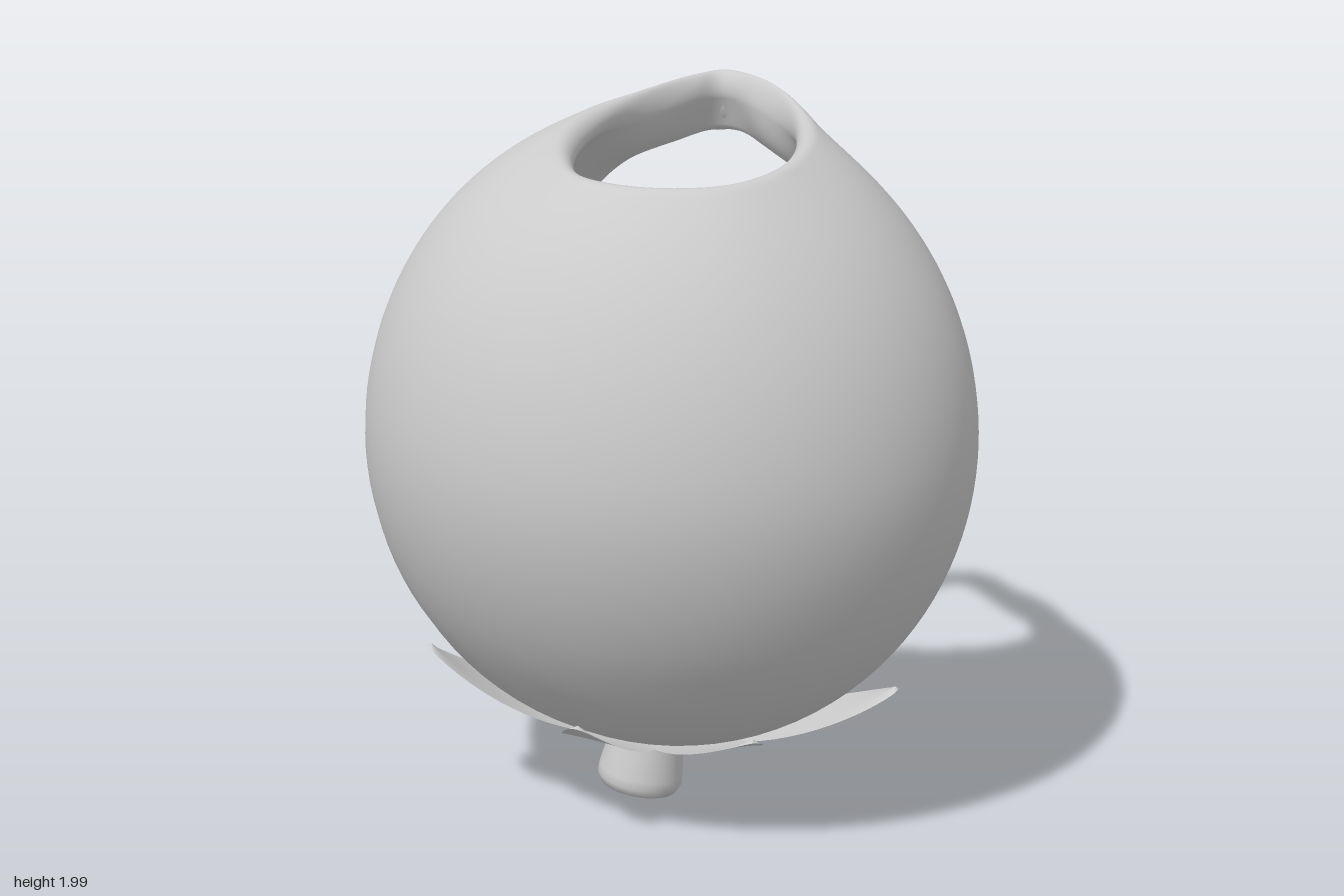
import * as THREE from 'three';

const V = (x, y, z) => new THREE.Vector3(x, y, z);
const T = 0.04; // half thickness of the shell wall
const CENTRE = V(0, 1.1, 0);
const RADII = V(0.795, 0.86, 0.72);

// Point on the middle of the fruit wall in direction d, pushed out by off
function wall(d, off = 0) {
  const q = d.clone().divide(RADII);
  const p = d.clone().divideScalar(q.length()).add(CENTRE);
  const low = Math.max(0, (1.1 - p.y) / 0.9) ** 1.3;
  p.x -= 0.02 * low;
  p.z -= 0.1 * low;
  // Fuller lower back, strongest towards its two corners
  const back = THREE.MathUtils.smoothstep(-d.z, 0, 0.75) * (0.6 + 0.8 * Math.abs(d.x));
  p.z -= 0.07 * back * Math.exp(-(((p.y - 0.86) / 0.23) ** 2));
  const n = q.divide(RADII).normalize();
  return { p: p.addScaledVector(n, off), n };
}

// Directions seen as a complex plane, with P and Q lying inside the two openings
const P = 0.1765, Q = 0.5185;

function toLog(d) {
  const re = -d.z / (1 + d.y), im = d.x / (1 + d.y);
  const a = [re - P, im], b = [Q - re, -im], m = b[0] ** 2 + b[1] ** 2;
  const wr = (a[0] * b[0] + a[1] * b[1]) / m, wi = (a[1] * b[0] - a[0] * b[1]) / m;
  const angle = Math.atan2(wi, wr);
  return [Math.log(Math.hypot(wr, wi)), angle < 0 ? angle + 2 * Math.PI : angle];
}

function fromLog(l, angle) {
  const k = Math.exp(l), wr = k * Math.cos(angle), wi = k * Math.sin(angle);
  const ar = P + Q * wr, ai = Q * wi, br = 1 + wr, bi = wi;
  const A = ar * ar + ai * ai, B = br * br + bi * bi, s = A + B;
  return V(2 * (ai * br - ar * bi) / s, (B - A) / s, -2 * (ar * br + ai * bi) / s).normalize();
}

function surface(points, index, material) {
  const g = new THREE.BufferGeometry().setFromPoints(points);
  g.setIndex(index);
  g.computeVertexNormals();
  return new THREE.Mesh(g, material);
}

// Hollow shell: loops run from the top opening to the back opening, then back inside
function makeShell(material) {
  const NV = 160, NU = 60;
  const rim = (pts) => new THREE.CatmullRomCurve3(pts.map((a) => V(...a)), true, 'centripetal')
    .getSpacedPoints(NV).slice(0, NV).map((p, j) => {
      const d = p.clone().sub(CENTRE).normalize();
      const log = toLog(d);
      if (j === 0) log[1] = 0;
      return { p, log, delta: p.clone().sub(wall(d).p) };
    });
  const top = rim([
    [0, 1.985, -0.555], [0.11, 1.98, -0.49], [0.22, 1.955, -0.36], [0.3, 1.92, -0.18], [0.34, 1.885, 0.05],
    [0.32, 1.865, 0.22], [0.23, 1.85, 0.35], [0.05, 1.845, 0.4], [-0.13, 1.85, 0.34],
    [-0.21, 1.865, 0.2], [-0.24, 1.895, 0.02], [-0.21, 1.935, -0.2], [-0.13, 1.965, -0.4], [-0.06, 1.98, -0.5],
  ]);
  const back = rim([
    [0, 1.83, -0.63], [0.13, 1.82, -0.59], [0.27, 1.77, -0.56], [0.41, 1.6, -0.535], [0.45, 1.35, -0.54],
    [0.38, 1.07, -0.6], [0.22, 0.88, -0.675], [0, 0.83, -0.7], [-0.22, 0.88, -0.675],
    [-0.38, 1.07, -0.6], [-0.45, 1.35, -0.54], [-0.41, 1.6, -0.535], [-0.27, 1.77, -0.57], [-0.13, 1.82, -0.61],
  ]);
  const outer = [], inner = [];
  for (let i = 0; i <= NU; i++) {
    const u = (1 - Math.cos(Math.PI * i / NU)) / 2;
    for (let j = 0; j < NV; j++) {
      const a = top[j], b = back[j];
      const angle = THREE.MathUtils.lerp(a.log[1], b.log[1], u);
      const { p, n } = wall(fromLog(THREE.MathUtils.lerp(a.log[0], b.log[0], u), angle));
      const e = 1 + 3 * Math.sin(angle / 2) ** 2;
      p.addScaledVector(a.delta, (1 - u) ** e).addScaledVector(b.delta, u ** e);
      // Rounded lip at both openings
      const near = Math.min(1, p.distanceTo(a.p) / T, p.distanceTo(b.p) / T);
      const h = T * Math.sqrt(Math.max(0, 1 - (1 - near) ** 2));
      outer.push(p.clone().addScaledVector(n, h));
      const inside = p.clone().addScaledVector(n, -h);
      // Cone-like floor inside
      if (p.y < 0.8) inside.y += 0.06 * Math.sin(Math.PI * Math.min(1, Math.hypot(p.x, p.z) / 0.55));
      inner.push(inside);
    }
  }
  const points = outer.slice();
  for (let i = NU - 1; i > 0; i--) points.push(...inner.slice(i * NV, (i + 1) * NV));
  const rows = 2 * NU, index = [];
  for (let i = 0; i < rows; i++) {
    for (let j = 0; j < NV; j++) {
      const i2 = (i + 1) % rows, j2 = (j + 1) % NV;
      const a = i * NV + j, b = i * NV + j2, c = i2 * NV + j, d = i2 * NV + j2;
      index.push(a, b, c, b, d, c);
    }
  }
  return surface(points, index, material);
}

// Round-tipped leaf lying on the underside of the fruit, from the stem to a tip
function makeLeaf(tip, width, flare, material) {
  const NS = 24, NT = 10, points = [], index = [];
  const root = V(-0.09, 0.2, -0.07);
  const side = V(tip.z - root.z, 0, root.x - tip.x).normalize();
  for (let i = 0; i <= NS; i++) {
    const s = Math.sin(Math.PI / 2 * i / NS);
    const w = width * (0.6 + 0.4 * Math.sin(Math.PI * s)) * Math.sqrt(1 - s ** 6);
    for (let j = 0; j <= NT; j++) {
      const t = j / NT * 2 - 1;
      const d = root.clone().lerp(tip, s).addScaledVector(side, w * t).sub(CENTRE).normalize();
      points.push(wall(d, T + 0.012 + flare * s * s + 0.012 * s * t * t).p);
      if (i < NS && j < NT) {
        const a = i * (NT + 1) + j, c = a + NT + 1;
        index.push(a, a + 1, c, a + 1, c + 1, c);
      }
    }
  }
  return surface(points, index, material);
}

export function createModel() {
  const group = new THREE.Group();
  const material = new THREE.MeshStandardMaterial({ color: 0xcccccc });
  const thin = new THREE.MeshStandardMaterial({ color: 0xcccccc, side: THREE.DoubleSide });
  const add = (mesh, name) => {
    mesh.name = name;
    group.add(mesh);
    return mesh;
  };

  add(makeShell(material), 'fruitShell');

  // Rounded tab where the two sides of the bridge meet
  const tab = add(new THREE.Mesh(new THREE.SphereGeometry(1, 32, 20), material), 'bridgeTab');
  tab.scale.set(0.14, 0.085, 0.042);
  tab.position.set(-0.03, 1.895, -0.602);
  tab.rotation.set(0.42, 0, 0.15);

  // Leaves: tip, half width, lift at the tip
  const leaves = [
    [V(-0.11, 0.47, 0.44), 0.1, 0.015], [V(-0.54, 0.57, 0.25), 0.12, 0.03],
    [V(-0.71, 0.63, -0.15), 0.13, 0.05], [V(-0.35, 0.51, -0.55), 0.13, 0.01],
    [V(0.08, 0.57, -0.65), 0.14, 0], [V(0.42, 0.45, -0.4), 0.11, 0.02],
    [V(0.57, 0.44, -0.03), 0.11, 0.07], [V(0.3, 0.38, 0.33), 0.11, 0.015],
  ];
  leaves.forEach(([tip, width, flare]) => add(makeLeaf(tip, width, flare, thin), 'leaf'));

  // Short stem, flared and rounded at its foot
  const profile = [[0, 0], [0.085, 0.002], [0.11, 0.012], [0.121, 0.035], [0.12, 0.06], [0.108, 0.14], [0.1, 0.2], [0.102, 0.215]]
    .map(([x, y]) => new THREE.Vector2(x, y));
  const stem = add(new THREE.Mesh(new THREE.LatheGeometry(profile, 40), material), 'stem');
  stem.position.set(-0.115, 0.018, -0.06);
  stem.rotation.set(-0.06, 0, -0.16);
  return group;
}
